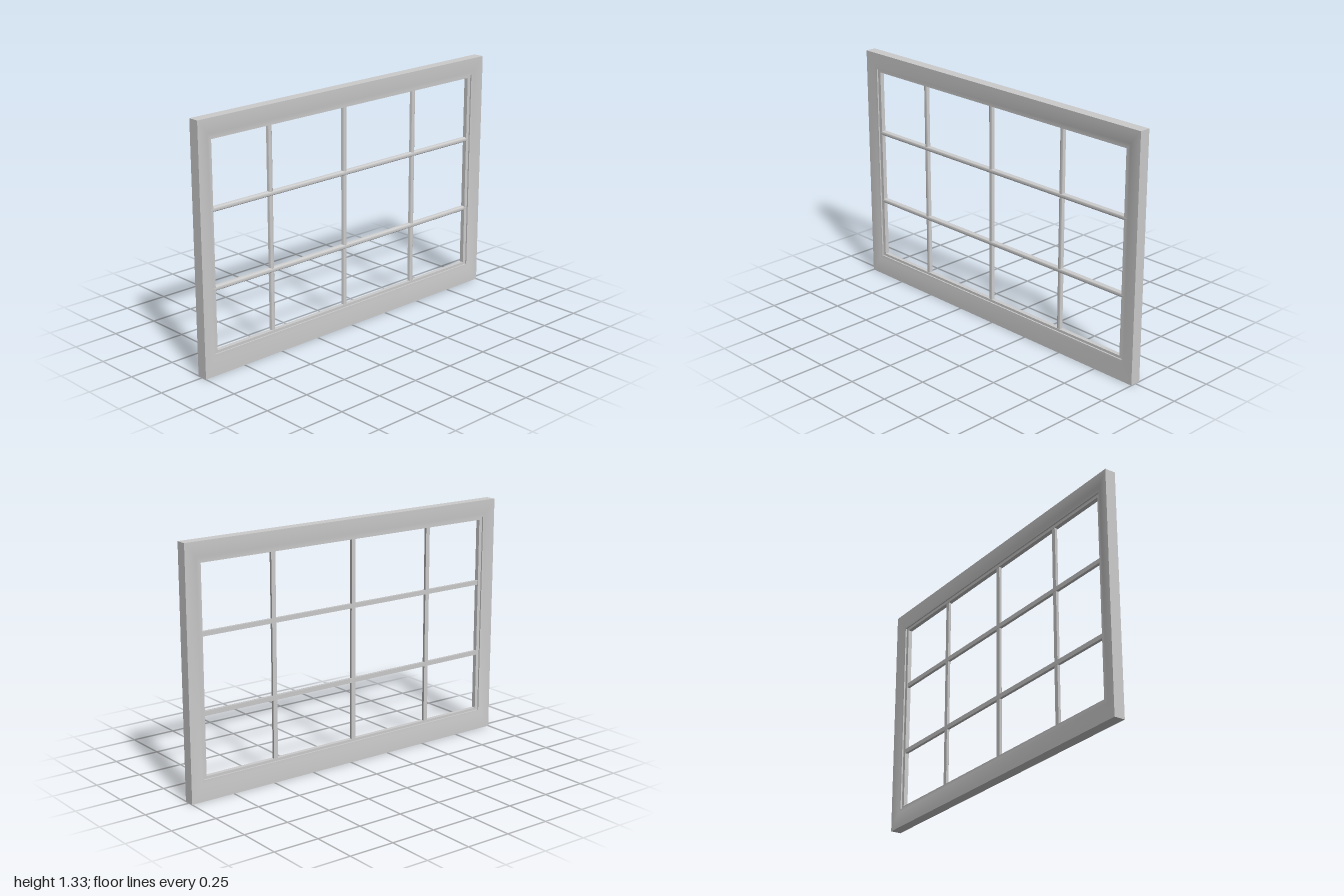
import * as THREE from 'three';
import { toCreasedNormals } from 'three/addons/utils/BufferGeometryUtils.js';

const material = new THREE.MeshStandardMaterial({ color: 0xcccccc });

// Nested rectangles (left, right, bottom, top)
const OUTER = [-1, 1, 0, 1.33];
const INNER = [-0.927, 0.921, 0.11, 1.235];
const LIP = [-0.907, 0.9, 0.124, 1.218];

const mix = (a, b, t) => a.map((v, i) => v + (b[i] - v) * t);

// Sweeps a closed profile of [rectangle, z] steps round the mitred frame
function mitredFrame(profile) {
  const pos = [];
  const corners = ([l, r, b, t], z) => [[l, b, z], [r, b, z], [r, t, z], [l, t, z]];
  profile.forEach(([rect, z], i) => {
    const [nextRect, nextZ] = profile[(i + 1) % profile.length];
    const p = corners(rect, z), q = corners(nextRect, nextZ);
    for (let k = 0; k < 4; k++) {
      const m = (k + 1) % 4;
      pos.push(...p[k], ...p[m], ...q[m], ...p[k], ...q[m], ...q[k]);
    }
  });
  const geo = new THREE.BufferGeometry();
  geo.setAttribute('position', new THREE.Float32BufferAttribute(pos, 3));
  return toCreasedNormals(geo, 0.55);
}

// Glazing bar along y: flat back, rounded front
function barGeometry(length, width, back, shoulder, front) {
  const w = width / 2;
  const shape = new THREE.Shape();
  shape.moveTo(-w, -back);
  shape.lineTo(w, -back);
  shape.lineTo(w, -shoulder);
  shape.absellipse(0, -shoulder, w, front - shoulder, 0, Math.PI, true);
  shape.lineTo(-w, -back);
  const geo = new THREE.ExtrudeGeometry(shape, { depth: length, bevelEnabled: false, curveSegments: 10 });
  geo.rotateX(-Math.PI / 2);
  geo.translate(0, -length / 2, 0);
  return toCreasedNormals(geo, 0.6);
}

export function createModel() {
  const group = new THREE.Group();
  const add = (name, geo, x = 0, y = 0) => {
    const mesh = new THREE.Mesh(geo, material);
    mesh.name = name;
    mesh.position.set(x, y, 0);
    group.add(mesh);
  };

  // Frame: faces curve gently inward on both sides to a thin inner lip
  const face = [];
  for (let i = 0; i <= 6; i++) {
    const t = i / 6;
    face.push([mix(OUTER, INNER, t), 0.03 - 0.01 * t * t]);
  }
  face.push([INNER, 0.012], [LIP, 0.012]);
  const backFace = face.map(([rect, z]) => [rect, -z]).reverse();
  add('frame', mitredFrame([...face, ...backFace]));

  // Upright glazing bars
  const [l, r, b, t] = INNER;
  for (const x of [-0.536, -0.03, 0.476]) {
    add('verticalBar', barGeometry(t - b - 0.01, 0.025, -0.01, 0.002, 0.01), x, (t + b) / 2);
  }

  // Crossing glazing bars, slightly prouder than the uprights
  const cross = barGeometry(r - l - 0.01, 0.025, -0.011, 0.002, 0.013).rotateZ(-Math.PI / 2);
  for (const y of [0.453, 0.862]) add('horizontalBar', cross, (l + r) / 2, y);

  return group;
}
